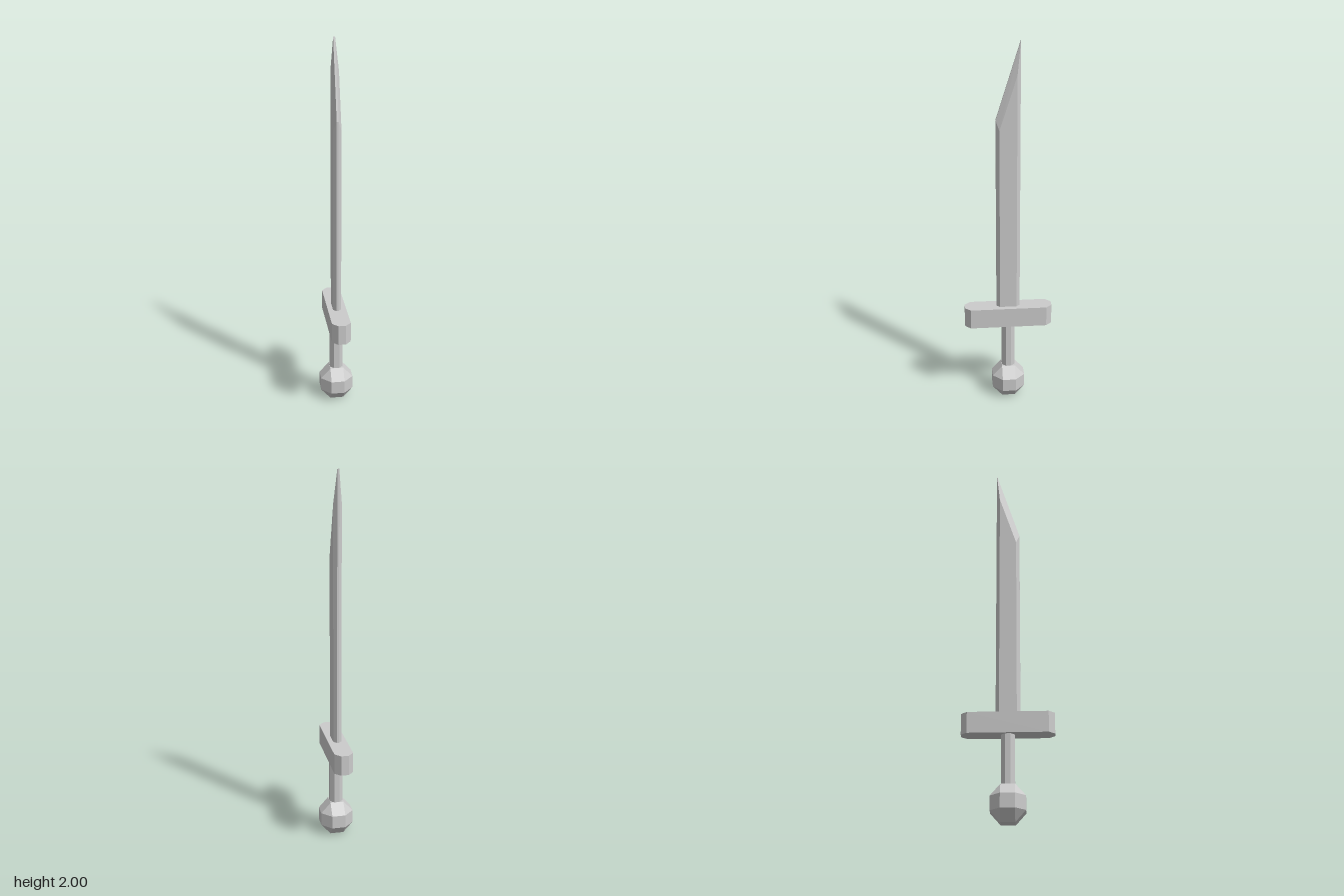
import * as THREE from 'three';
import { ConvexGeometry } from 'three/addons/geometries/ConvexGeometry.js';

const material = new THREE.MeshStandardMaterial({ color: 0xcccccc, flatShading: true });

function addPart(group, name, geometry) {
  const mesh = new THREE.Mesh(geometry, material);
  mesh.name = name;
  group.add(mesh);
  return mesh;
}

// Bevelled blade: a thin full outline between two wider, inset side outlines.
function bladeGeometry() {
  const base = 0.5;
  const edge = [[-0.063, base], [0.063, base], [0.063, 1.6], [-0.063, 2]]; // [z, y]
  const side = [[-0.045, base], [0.045, base], [0.045, 1.55], [-0.045, 1.83]];
  const points = [];
  for (const s of [-1, 1]) {
    for (const [z, y] of edge) points.push(new THREE.Vector3(s * 0.005, y, z));
    for (const [z, y] of side) points.push(new THREE.Vector3(s * 0.022, y, z));
  }
  return new ConvexGeometry(points);
}

// Crossguard: a bar with chamfered ends.
function guardGeometry() {
  const outline = [
    [0.05, -0.205], [0.05, 0.205], [0.02, 0.236], [-0.02, 0.236],
    [-0.05, 0.205], [-0.05, -0.205], [-0.02, -0.236], [0.02, -0.236],
  ].map(([x, z]) => new THREE.Vector2(x, z));
  const geometry = new THREE.ExtrudeGeometry(new THREE.Shape(outline), { depth: 0.11, bevelEnabled: false });
  return geometry.rotateX(-Math.PI / 2).translate(0, 0.445, 0);
}

// Pommel: a cube with all edges and corners cut, one square per axis direction.
function pommelGeometry() {
  const a = 0.036, b = 0.088, h = 0.094;
  const points = [];
  for (const sx of [-1, 1]) for (const sy of [-1, 1]) for (const sz of [-1, 1]) {
    for (const [x, y, z] of [[b, a, a], [a, h, a], [a, a, b]]) {
      points.push(new THREE.Vector3(sx * x, h + sy * y, sz * z));
    }
  }
  return new ConvexGeometry(points);
}

export function createModel() {
  const group = new THREE.Group();
  group.name = 'sword';

  addPart(group, 'blade', bladeGeometry());
  addPart(group, 'crossguard', guardGeometry());

  // Eight-sided grip with flats facing the axes
  const grip = new THREE.CylinderGeometry(0.0375, 0.0375, 0.31, 8).rotateY(Math.PI / 8);
  addPart(group, 'grip', grip).position.y = 0.305;

  addPart(group, 'pommel', pommelGeometry());
  return group;
}
